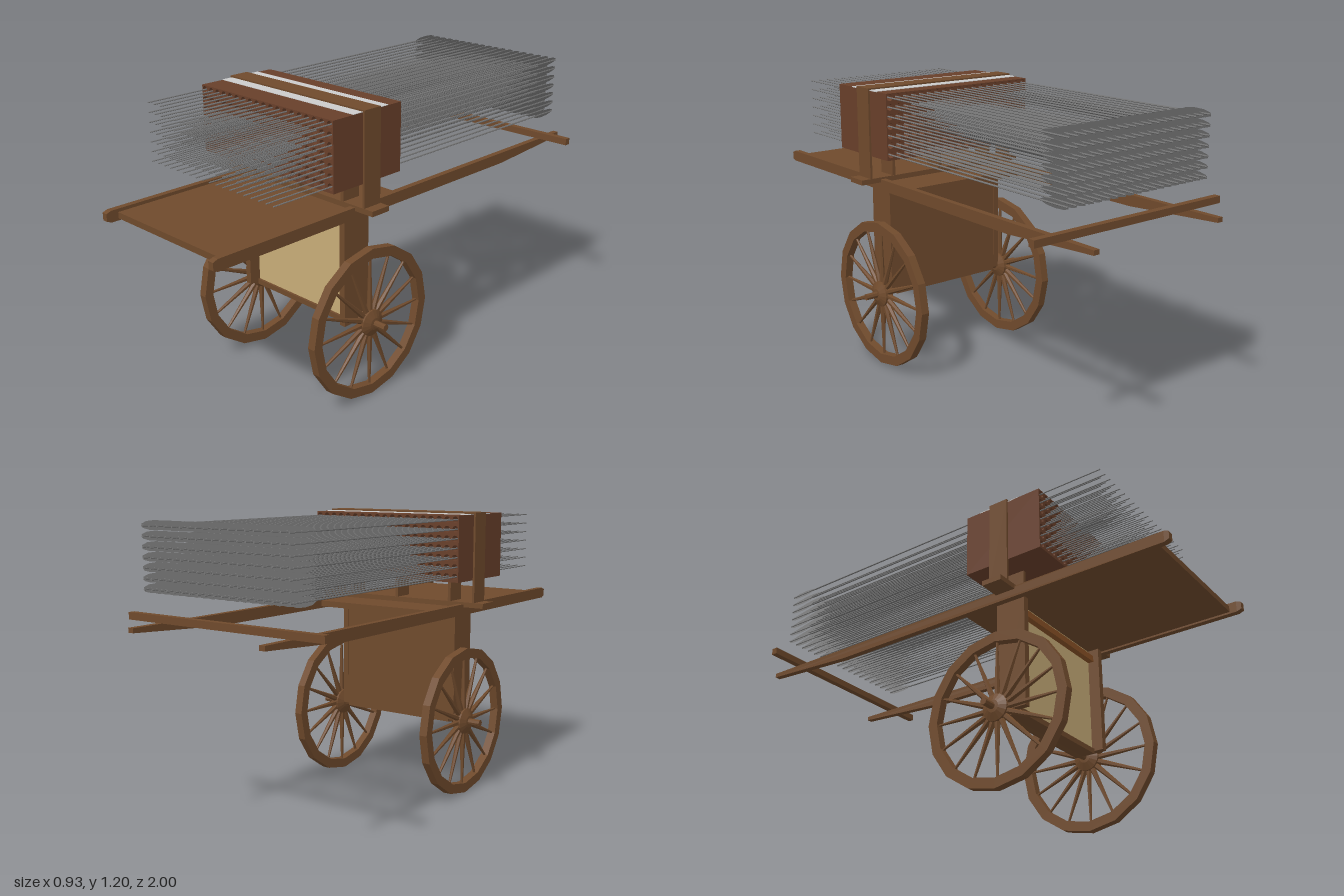
import * as THREE from 'three';
import { mergeGeometries } from 'three/addons/utils/BufferGeometryUtils.js';

const material = (color, extra = {}) => new THREE.MeshStandardMaterial({ color, flatShading: true, ...extra });

export function createModel() {
  const model = new THREE.Group();
  const wood = material(0x6f4a2c);
  const redWood = material(0x683f2a);
  const barWood = material(0x8a5226);
  const tan = material(0xc8ad78);
  const grey = material(0xcccccc);
  const arrowGrey = material(0x777777, { side: THREE.DoubleSide });

  const add = (name, geometry, mat, parent = model) => {
    const mesh = new THREE.Mesh(geometry, mat);
    mesh.name = name;
    parent.add(mesh);
    return mesh;
  };
  // Box given by its limits on each axis
  const box = (name, x0, x1, y0, y1, z0, z1, mat = wood) => {
    const mesh = add(name, new THREE.BoxGeometry(x1 - x0, y1 - y0, z1 - z0), mat);
    mesh.position.set((x0 + x1) / 2, (y0 + y1) / 2, (z0 + z1) / 2);
    return mesh;
  };

  // Long side beams, tapering to handles at the back
  const beamShape = new THREE.Shape([
    [1, 0.78], [1, 0.81], [0.98, 0.818], [-1, 0.818], [-1, 0.8], [-0.57, 0.772], [0.98, 0.772],
  ].map(([z, y]) => new THREE.Vector2(-z, y)));
  for (const side of [-1, 1]) {
    const geometry = new THREE.ExtrudeGeometry(beamShape, { depth: 0.025, bevelEnabled: false });
    geometry.translate(0, 0, -0.0125).rotateY(Math.PI / 2);
    add('sideBeam', geometry, wood).position.x = side * 0.31;
  }

  // Deck and cross pieces
  box('deck', -0.3, 0.3, 0.78, 0.805, 0.075, 0.95);
  box('crossPlank', -0.413, 0.413, 0.805, 0.826, 0.248, 0.336);
  box('handleBar', -0.465, 0.465, 0.82, 0.848, -0.872, -0.845);

  // Body under the deck
  for (const side of [-1, 1]) {
    const post = box('bodyPost', -0.0135, 0.0135, 0.32, 0.78, 0.23, 0.36);
    post.position.x = side * 0.2785;
  }
  box('backPanel', -0.265, 0.265, 0.32, 0.78, 0.232, 0.26);
  box('frontPanel', -0.265, 0.265, 0.33, 0.78, 0.26, 0.31, tan);
  box('frontRail', -0.265, 0.265, 0.725, 0.752, 0.31, 0.335, barWood);
  box('bottomRail', -0.265, 0.265, 0.308, 0.33, 0.232, 0.32);

  // Axle
  const axle = add('axle', new THREE.CylinderGeometry(0.014, 0.014, 0.82, 8).rotateZ(Math.PI / 2), wood);
  axle.position.set(0, 0.318, 0.253);

  // Wheels: 16-sided rim, tapered spokes, domed hub
  const ringPoints = (r) => Array.from({ length: 16 }, (_, i) =>
    new THREE.Vector2(Math.cos(i * Math.PI / 8) * r, Math.sin(i * Math.PI / 8) * r));
  const rimShape = new THREE.Shape(ringPoints(0.316));
  rimShape.holes.push(new THREE.Path(ringPoints(0.275)));
  const rimGeometry = new THREE.ExtrudeGeometry(rimShape, { depth: 0.035, bevelEnabled: false });
  rimGeometry.translate(0, 0, -0.0175).rotateY(Math.PI / 2);
  const spokes = [];
  for (let i = 0; i < 16; i++) {
    const spoke = new THREE.CylinderGeometry(0.005, 0.013, 0.25, 6);
    spokes.push(spoke.translate(0, 0.155, 0).rotateX(i * Math.PI / 8));
  }
  const spokeGeometry = mergeGeometries(spokes);
  const hubGeometry = new THREE.LatheGeometry([
    [0, -0.034], [0.025, -0.031], [0.055, -0.017], [0.055, 0.017], [0.025, 0.031], [0, 0.034],
  ].map(([r, y]) => new THREE.Vector2(r, y)), 16).rotateZ(-Math.PI / 2);
  for (const side of [-1, 1]) {
    const wheel = new THREE.Group();
    wheel.name = side > 0 ? 'leftWheel' : 'rightWheel';
    add('rim', rimGeometry, wood, wheel);
    add('spokes', spokeGeometry, wood, wheel);
    add('hub', hubGeometry, wood, wheel);
    wheel.position.set(side * 0.3245, 0.317, 0.255);
    model.add(wheel);
  }

  // Launcher block with a grid of through holes
  const columns = 19, rows = 7, pitch = 0.0383, middleY = 1.058;
  const cells = [];
  for (let r = 0; r < rows; r++) {
    for (let c = 0; c < columns; c++) {
      cells.push([(c - (columns - 1) / 2) * pitch, middleY + (r - (rows - 1) / 2) * pitch]);
    }
  }
  const blockShape = new THREE.Shape([[-0.362, 0.92], [0.362, 0.92], [0.362, 1.19], [-0.362, 1.19]]
    .map(([x, y]) => new THREE.Vector2(x, y)));
  for (const [x, y] of cells) {
    blockShape.holes.push(new THREE.Path().absarc(x, y, 0.0135, 0, Math.PI * 2, true));
  }
  const blockGeometry = new THREE.ExtrudeGeometry(blockShape, { depth: 0.352, bevelEnabled: false, curveSegments: 5 });
  add('launcherBlock', blockGeometry, redWood).position.z = 0.132;

  // Strap, pale strips on top, and supports below
  box('topStrap', -0.37, 0.37, 1.19, 1.198, 0.25, 0.335);
  box('topStrip', -0.362, 0.362, 1.188, 1.192, 0.2, 0.25, grey);
  box('topStrip', -0.362, 0.362, 1.188, 1.192, 0.335, 0.383, grey);
  for (const side of [-1, 1]) {
    const strap = box('sideStrap', -0.005, 0.005, 0.82, 1.198, 0.25, 0.335);
    strap.position.x = side * 0.3655;
  }
  for (const x of [-0.25, 0.017, 0.255]) box('support', x - 0.007, x + 0.007, 0.8, 0.922, 0.25, 0.335);

  // Arrows: slim shaft and a slanted flat fletching at the back
  const shaft = new THREE.CylinderGeometry(0.0025, 0.004, 1.65, 5).rotateX(Math.PI / 2).translate(0, 0, -0.073);
  const vane = new THREE.ShapeGeometry(new THREE.Shape([
    [-0.755, 0], [-0.79, 0.015], [-0.83, 0.019], [-0.87, 0.017], [-0.898, 0.008],
    [-0.898, -0.008], [-0.87, -0.017], [-0.83, -0.019], [-0.79, -0.015],
  ].map(([z, y]) => new THREE.Vector2(z, y))));
  vane.rotateY(-Math.PI / 2).rotateZ(-0.4);
  const arrow = mergeGeometries([shaft, vane]);
  add('arrows', mergeGeometries(cells.map(([x, y]) => arrow.clone().translate(x, y, 0))), arrowGrey);

  return model;
}
